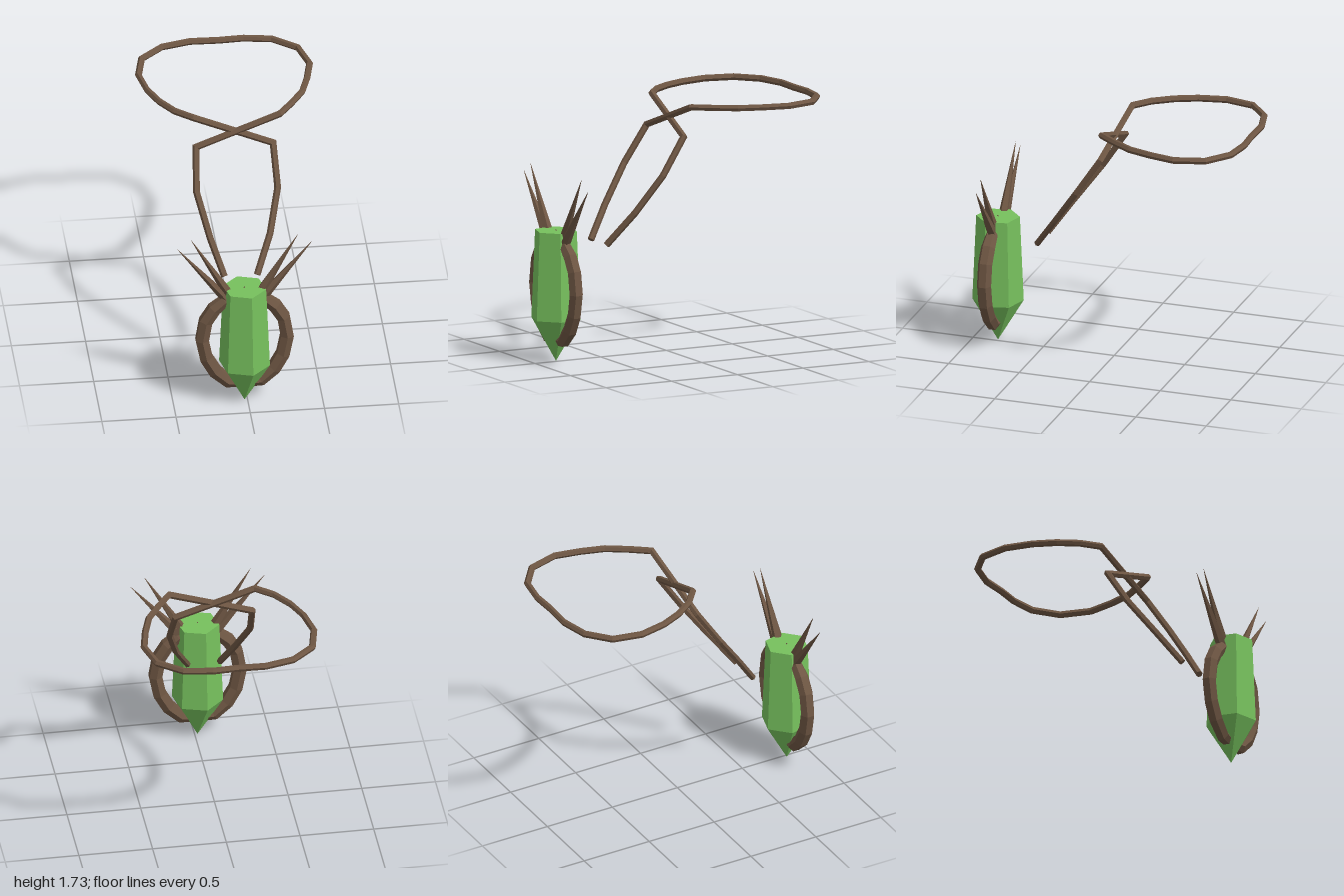
import * as THREE from 'three';

const V = (x, y, z) => new THREE.Vector3(x, y, z);

// Mitred prism swept along a polyline, capped at both ends.
// radii: one number, or one per path point; up: direction of the first corner.
function sweep(path, radii, sides, up) {
  const dirs = path.slice(1).map((p, i) => p.clone().sub(path[i]).normalize());
  const d0 = dirs[0];
  let u = up.clone().addScaledVector(d0, -up.dot(d0)).normalize();
  const rings = path.map((p, i) => {
    const prev = dirs[Math.max(i - 1, 0)];
    const next = dirs[Math.min(i, dirs.length - 1)];
    const plane = prev.clone().add(next).normalize();
    const v = prev.clone().cross(u);
    const r = Array.isArray(radii) ? radii[i] : radii;
    const ring = [];
    for (let k = 0; k < sides; k++) {
      const a = (k / sides) * Math.PI * 2;
      const o = u.clone().multiplyScalar(Math.cos(a) * r).addScaledVector(v, Math.sin(a) * r);
      o.addScaledVector(prev, -o.dot(plane) / prev.dot(plane));
      ring.push(o.add(p));
    }
    u = u.clone().applyQuaternion(new THREE.Quaternion().setFromUnitVectors(prev, next));
    return ring;
  });
  const tris = [];
  const last = rings.length - 1;
  for (let k = 0; k < sides; k++) {
    const n = (k + 1) % sides;
    for (let i = 0; i < last; i++) {
      const [a, b, c, e] = [rings[i][k], rings[i][n], rings[i + 1][n], rings[i + 1][k]];
      tris.push(a, b, c, a, c, e);
    }
    tris.push(path[0], rings[0][n], rings[0][k], path[last], rings[last][k], rings[last][n]);
  }
  const geo = new THREE.BufferGeometry().setFromPoints(tris);
  geo.computeVertexNormals();
  return geo;
}

export function createModel() {
  const group = new THREE.Group();
  group.name = 'crystalNecklace';
  const green = new THREE.MeshStandardMaterial({ color: 0x76c05d, flatShading: true });
  green.name = 'crystalGreen';
  const brown = new THREE.MeshStandardMaterial({ color: 0x6e5643, flatShading: true });
  brown.name = 'vineBrown';

  const add = (name, geo, mat) => {
    const mesh = new THREE.Mesh(geo, mat);
    mesh.name = name;
    group.add(mesh);
    return mesh;
  };

  // Six-sided crystal with a pointed base
  const CX = -0.02, CZ = 0.83;
  const profile = [[0, 0], [0.173, 0.29], [0.147, 0.89], [0, 0.89]];
  const crystal = add('crystal', new THREE.LatheGeometry(
    profile.map(([r, y]) => new THREE.Vector2(r, y)), 6), green);
  crystal.position.set(CX, 0, CZ);
  crystal.rotation.y = 0.24;

  // Tiny root tip poking through the top of the crystal
  const tip = add('rootTip', new THREE.ConeGeometry(0.02, 0.03, 3), brown);
  tip.position.set(CX, 0.885, CZ);

  // Vine frame halves and thorns, mirrored about the crystal axis
  const vine = [[0.09, 0.83], [0.13, 0.8], [0.205, 0.735], [0.262, 0.64], [0.286, 0.495],
    [0.258, 0.35], [0.198, 0.24], [0.11, 0.155], [0, 0.14]];
  const vineRadii = [0.03, 0.042, 0.05, 0.05, 0.05, 0.05, 0.05, 0.045, 0.035];
  const thorns = [
    [[0.09, 0.77], [0.16, 0.86], [0.453, 1.225]],
    [[0.07, 0.78], [0.13, 0.89], [0.36, 1.29]],
  ];
  for (const [side, s] of [['left', 1], ['right', -1]]) {
    const place = ([x, y]) => V(CX + s * x, y, CZ);
    add(side + 'Vine', sweep(vine.map(place), vineRadii, 6, V(0, 0, 1)), brown);
    thorns.forEach((t, i) => add(side + 'Thorn' + (i + 1),
      sweep(t.map(place), [0.035, 0.033, 0.0008], 5, V(0, 0, 1)), brown));
  }

  // Cord: up from one loose end, across, round the neck loop and back across
  const Y = 1.706;
  const loop = [[0.31, -0.02], [0.4, -0.14], [0.49, -0.28], [0.54, -0.44], [0.577, -0.62],
    [0.52, -0.825], [0.36, -0.95], [0.17, -0.98], [0, -0.972], [-0.19, -0.978], [-0.385, -0.93],
    [-0.535, -0.8], [-0.578, -0.6], [-0.54, -0.41], [-0.475, -0.26], [-0.385, -0.13], [-0.27, -0.035]];
  const cord = [
    V(-0.12, 0.78, 0.51), V(-0.2, 0.995, 0.36), V(-0.272, 1.25, 0.175), V(-0.258, 1.5, 0.01),
    ...loop.map(([x, z]) => V(x, Y, z)),
    V(0.262, 1.5, 0.01), V(0.275, 1.25, 0.175), V(0.205, 1.0, 0.35), V(0.1, 0.78, 0.51),
  ];
  add('cord', sweep(cord, 0.023, 6, V(1, 0, 0)), brown);

  return group;
}
